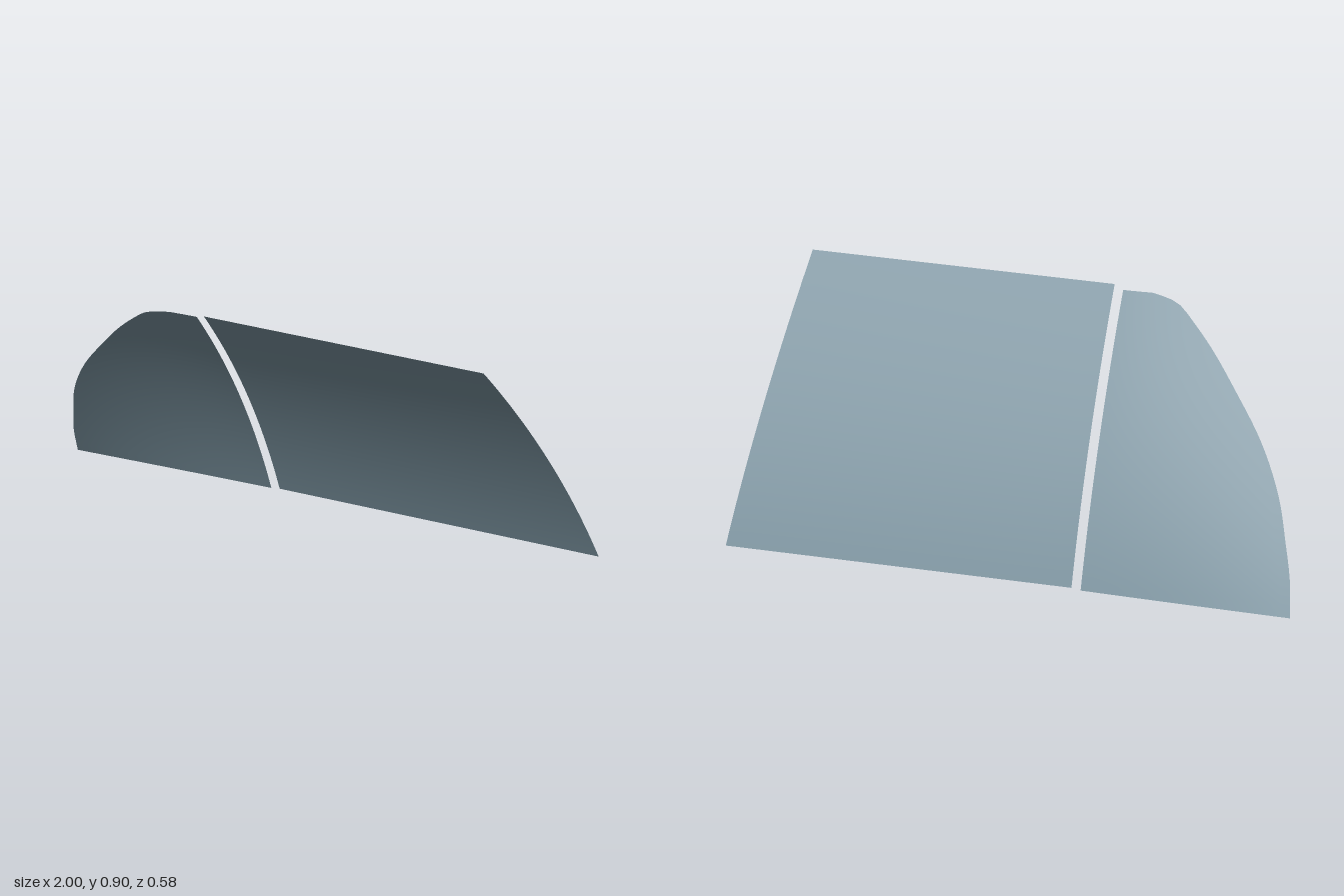
import * as THREE from 'three';

const lerp = THREE.MathUtils.lerp;

// Depth of the curved glass at a given x and y: a bowed slope that curls towards the narrow end
function depth(x, y) {
  const t = (y - 0.012) / 0.888;
  const bow = lerp(-0.288, 0.268, t) - 0.172 * t * (1 - t);
  const twist = 0.018 * Math.max(t, 0) ** 3 * (0.84 - x) / 1.06;
  const s = Math.max(0, -0.24 - x);
  return bow + twist + (0.34 * y + 0.012) * s * s;
}

// Pane spanned between two edges; each edge gives [x, y] for a height fraction v
function pane(name, leftEdge, rightEdge, material) {
  const geo = new THREE.PlaneGeometry(1, 1, 20, 32);
  const pos = geo.attributes.position;
  for (let i = 0; i < pos.count; i++) {
    const u = pos.getX(i) + 0.5;
    const v = pos.getY(i) + 0.5;
    const a = leftEdge(v);
    const b = rightEdge(v);
    const x = lerp(a[0], b[0], u);
    const y = lerp(a[1], b[1], u);
    pos.setXYZ(i, x, y, depth(x, y));
  }
  geo.computeVertexNormals();
  const mesh = new THREE.Mesh(geo, material);
  mesh.name = name;
  return mesh;
}

export function createModel() {
  const group = new THREE.Group();
  group.name = 'windowGlass';
  const glass = new THREE.MeshStandardMaterial({ color: 0x78909c, side: THREE.DoubleSide });

  // Large pane with a slightly bowed, slanted outer edge
  group.add(pane('largePane',
    v => [lerp(1, 0.84, v) + 0.03 * v * (1 - v), lerp(0.015, 0.9, v)],
    v => [-0.225, lerp(0.015, 0.9, v)],
    glass));

  // Small pane with a rounded outer edge
  const outline = new THREE.CatmullRomCurve3([
    [-1, 0], [-0.98, 0.11], [-0.945, 0.22], [-0.91, 0.32], [-0.865, 0.41], [-0.8, 0.51],
    [-0.7, 0.63], [-0.6, 0.74], [-0.52, 0.813], [-0.46, 0.86], [-0.42, 0.875], [-0.36, 0.887],
  ].map(([x, y]) => new THREE.Vector3(x, y, 0)));
  group.add(pane('smallPane',
    v => [-0.258, lerp(0.01, 0.887, v)],
    v => outline.getPointAt(v).toArray(),
    glass));

  return group;
}
